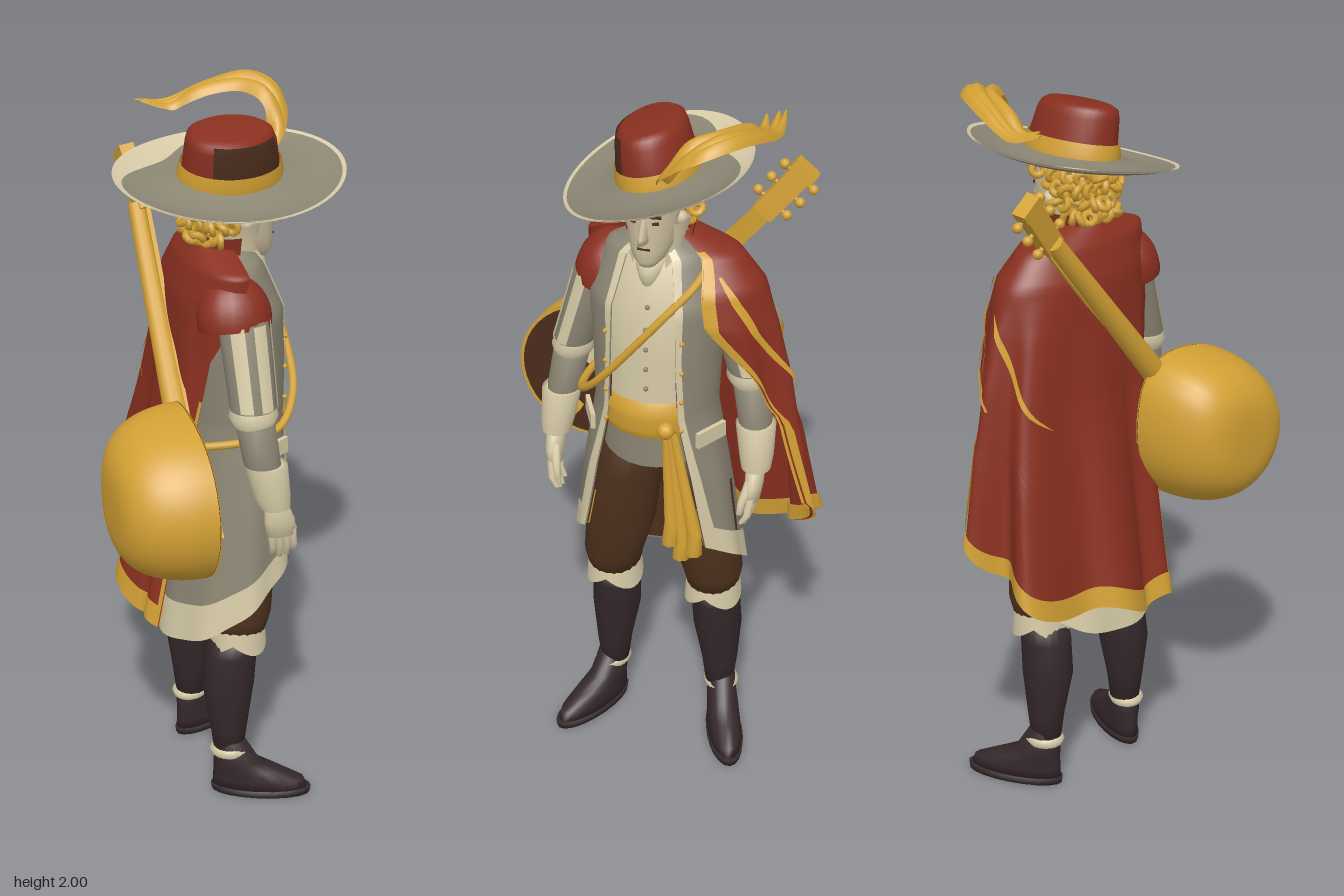
import * as THREE from 'three';
import { mergeVertices } from 'three/addons/utils/BufferGeometryUtils.js';

const mat = (name, color) => new THREE.MeshStandardMaterial({ name, color, side: THREE.DoubleSide });
const TAU = Math.PI * 2, CZ = -0.015;
const { sin, cos, abs, min, max, pow } = Math;

// Smooth surface from a rule f(u, v) -> [x, y, z]
function sheet(f, nu, nv) {
  const p = [], idx = [];
  for (let j = 0; j <= nv; j++) for (let i = 0; i <= nu; i++) p.push(...f(i / nu, j / nv));
  for (let j = 0; j < nv; j++) for (let i = 0; i < nu; i++) {
    const a = j * (nu + 1) + i, b = a + nu + 1;
    idx.push(a, b, a + 1, a + 1, b, b + 1);
  }
  let g = new THREE.BufferGeometry();
  g.setAttribute('position', new THREE.Float32BufferAttribute(p, 3));
  g.setIndex(idx);
  g = mergeVertices(g, 1e-5);
  g.computeVertexNormals();
  return g;
}

// Value of a row table at t in 0..1
function at(rows, t) {
  const s = min(t * (rows.length - 1), rows.length - 1.0001), i = Math.floor(s);
  return rows[i].map((a, k) => a + (rows[i + 1][k] - a) * (s - i));
}

// Horizontal elliptical rings [x, y, z, rx, rz], bottom to top
function stack(rows, off = 0, a0 = 0, a1 = TAU, sides = 20) {
  return sheet((u, v) => {
    const [x, y, z, rx, rz] = at(rows, v), a = a0 + (a1 - a0) * u;
    return [x + (rx + off) * cos(a), y, z + (rz + off) * sin(a)];
  }, sides, rows.length - 1);
}
const capped = rows => [[...rows[0].slice(0, 3), 0, 0], ...rows, [...rows.at(-1).slice(0, 3), 0, 0]];

// Drooping band along a curve, with its half width given by w(t)
function ribbon(points, w) {
  const c = new THREE.CatmullRomCurve3(points.map(q => new THREE.Vector3(...q))), up = new THREE.Vector3(0, 1, 0);
  return sheet((u, v) => {
    const p = c.getPoint(v), s = c.getTangent(v).cross(up).normalize(), k = 2 * u - 1;
    p.addScaledVector(s, k * w(v));
    return [p.x, p.y - k * k * w(v), p.z];
  }, 6, 32);
}

export function createModel() {
  const root = new THREE.Group();
  const M = {
    cream: mat('cream cloth', 0xd6caa6), grey: mat('grey cloth', 0x8b8573), gold: mat('gold', 0xd2a034),
    red: mat('red cloth', 0x8a3020), brown: mat('brown', 0x4e311d), boot: mat('dark leather', 0x34272a),
    skin: mat('skin', 0xcbbd9e), wood: mat('dark wood', 0x4a2c1c)
  };
  const add = (name, g, m, parent = root, pos = [0, 0, 0], rot = [0, 0, 0]) => {
    const o = new THREE.Mesh(g, m);
    o.name = name; o.position.set(...pos); o.rotation.set(...rot); parent.add(o);
    return o;
  };
  const box = (a, b, c) => new THREE.BoxGeometry(a, b, c);

  // Legs
  for (const s of [1, -1]) {
    const z = -.024 + s * 0.16;
    const foot = new THREE.Group();
    foot.name = 'shoe'; foot.position.set(0, 0, z + s * .006); foot.rotation.y = -s * 0.42; root.add(foot);
    add('sole', stack(capped([[.09, 0, 0, .14, .05], [.09, .02, 0, .143, .052]])), M.boot, foot);
    add('shoeUpper', stack(capped([[.088, .015, 0, .136, .048], [.083, .045, 0, .13, .047], [.05, .075, 0, .095, .045],
      [.02, .1, 0, .065, .043], [0, .17, 0, .042, .038]])), M.boot, foot);
    add('ankleTrim', stack([[0, .125, 0, .05, .044], [0, .14, 0, .056, .05], [0, .15, 0, .044, .042]]), M.cream, foot);
    add('boot', stack(capped([[0, .14, z, .043, .04], [0, .22, z, .053, .05], [0, .35, z - s * .008, .074, .068],
      [.01, .45, z - s * .012, .073, .068], [.02, .5, z - s * .012, .066, .062]])), M.boot);
    const zk = z - s * .014;
    add('kneeCuff', sheet((u, v) => {
      const a = u * TAU, r = .075 + .005 * v, dip = .04 * abs(sin(a * 1.5));
      return [.03 + r * cos(a), .54 - v * (.04 + dip), zk + r * sin(a)];
    }, 30, 3), M.cream);
    add('breeches', stack(capped([[.03, .505, zk, .072, .07], [.035, .57, zk, .088, .083], [.045, .7, z - s * .04, .096, .097],
      [.05, .88, z - s * .06, .1, .098], [.05, 1.03, CZ + s * .065, .098, .08]])), M.brown);
  }

  // Shirt, waistcoat and sash
  const torso = [[.06, 1.0, CZ, .125, .145], [.06, 1.12, CZ, .118, .14], [.055, 1.3, CZ, .128, .16],
    [.05, 1.45, CZ, .125, .165], [.045, 1.55, CZ, .09, .12], [.05, 1.62, CZ, .055, .055]];
  add('shirt', stack(capped(torso)), M.cream);
  add('waistcoat', sheet((u, v) => {
    const a = u * TAU, e = .035 * abs(cos(a));
    return [.06 + .13 * cos(a), 1.1 - v * (.09 + e), CZ + .15 * sin(a)];
  }, 24, 3), M.grey);
  add('sash', stack([[.06, 1.07, CZ, .135, .145], [.06, 1.1, CZ, .15, .155], [.06, 1.13, CZ, .143, .15],
    [.06, 1.15, CZ, .15, .155], [.06, 1.18, CZ, .132, .145]], 0, -1.1, 1.1), M.gold);
  add('sashKnot', new THREE.SphereGeometry(.024, 12, 8), M.gold, root, [.2, 1.11, -.085]);
  [[-.105, .76], [-.135, .72], [-.17, .74]].forEach(([z, y], i) => add('sashTail', stack(capped([
    [.215, y, z, .024, .025], [.208, y + .06, z, .015, .02], [.195, 1.1, -.085 - i * .01, .012, .012]]), 0, 0, TAU, 8), M.gold));
  for (let i = 0; i < 5; i++) add('shirtButton', new THREE.SphereGeometry(.007, 8, 6), M.grey, root, [.184 - max(0, i - 3) * .015, 1.22 + i * .06, CZ - .01]);

  // Open coat with a slanting hem
  const coatRows = [[1.62, .04, .06, .065], [1.58, .04, .09, .14], [1.45, .05, .138, .185], [1.3, .055, .142, .175],
    [1.13, .06, .138, .168], [.88, .05, .155, .207], [.6, .03, .178, .238]];
  const coat = (u, v, off = 0) => {
    const [y, cx, rx, rz] = at(coatRows, v), p0 = .44 + .36 * v * v, a = p0 + (TAU - 2 * p0) * u;
    const k = max(0, (v - .66) / .34), r = 1 + .025 * k * sin(a * 9);
    return [cx + (rx * r + off) * cos(a), y + k * (.02 + .14 * cos(a)), CZ + (rz * r + off) * sin(a)];
  };
  add('coat', sheet(coat, 60, 36), M.grey);
  add('coatLining', sheet((u, v) => coat(u, .55 + .445 * v, -.005), 60, 18), M.brown);
  add('coatHemTrim', sheet((u, v) => coat(u, .945 + .057 * v, .005), 60, 3), M.cream);
  for (const s of [0, 1]) {
    add('liningTrim', sheet((u, v) => coat(abs(s - .36 * u), .91 + .088 * v, -.009), 20, 3), M.gold);
    add('coatFrontTrim', sheet((u, v) => coat(abs(s - u * (.018 + .03 * pow(abs(2 * v - 1), 2))), v, .005), 3, 36), M.cream);
    const k = s ? -1 : 1;
    add('pocketFlap', box(.1, .045, .012), M.cream, root, [.12, 1.07, CZ + k * .17], [0, k * .5, 0]);
    for (let i = 0; i < 4; i++) add('coatButton', new THREE.SphereGeometry(.007, 8, 6), M.gold, root, [.174, 1.1 + i * .09, CZ + k * .105]);
  }
  add('collar', stack([[.06, 1.56, CZ, .08, .075], [.06, 1.62, CZ, .07, .072], [.055, 1.685, CZ, .088, .092]], 0, .6, TAU - .6), M.cream);
  add('neckcloth', stack(capped([[.1, 1.5, CZ, .05, .03], [.1, 1.55, CZ, .055, .04], [.085, 1.59, CZ, .05, .05]])), M.cream);

  // Arms
  for (const s of [1, -1]) {
    const z = d => CZ + s * d;
    const upper = [[.03, 1.2, z(.25), .053, .048], [.03, 1.25, z(.242), .063, .056], [.028, 1.36, z(.21), .066, .057],
      [.025, 1.47, z(.178), .069, .06], [.025, 1.54, z(.15), .055, .05], [.025, 1.57, z(.13), .02, .02]];
    add('upperSleeve', stack(capped(upper)), M.grey);
    for (const a of [.05, .95, 1.85, 4.3]) add('sleeveStripe', stack(upper.slice(1, 4), .004, s * a, s * (a + .55), 4), M.cream);
    add('elbowBand', stack([[.03, 1.2, z(.25), .055, .05], [.03, 1.225, z(.246), .067, .06], [.03, 1.25, z(.242), .06, .054]]), M.cream);
    add('forearm', stack(capped([[.065, 1.0, z(.28), .04, .038], [.045, 1.1, z(.27), .05, .046], [.03, 1.22, z(.25), .053, .05]])), M.grey);
    add('cuff', stack([[.078, .965, z(.285), .042, .04], [.07, 1.0, z(.283), .05, .046], [.055, 1.09, z(.275), .058, .054], [.052, 1.09, z(.272), .045, .043]]), M.cream);
    add('hand', stack(capped([[.098, .875, z(.282), .04, .02], [.092, .92, z(.285), .043, .024], [.08, .98, z(.285), .03, .026]])), M.cream);
    for (let i = 0; i < 4; i++) {
      const x = .068 + i * .02, low = .795 + abs(i - 1.4) * .012;
      add('finger', stack(capped([[x + .012, low, z(.265), .008, .008], [x + .008, .84, z(.28), .01, .011], [x, .89, z(.284), .011, .012]]), 0, 0, TAU, 8), M.cream);
    }
    add('thumb', stack(capped([[.142, .845, z(.26), .009, .009], [.138, .88, z(.265), .012, .012], [.11, .94, z(.28), .014, .014]]), 0, 0, TAU, 8), M.cream);
  }

  // Cape draped over the back and the left arm: y, back reach, front reach, side reach, start and end angle
  const capeRows = [[1.63, .07, .05, .08, 1.3, 5.5], [1.585, .1, .1, .215, 1.4, 5.6], [1.5, .125, .155, .285, 1.7, 5.72], [1.35, .135, .17, .315, 2.2, 5.72],
    [1.15, .15, .15, .345, 2.4, 5.45], [.9, .19, .15, .37, 2.5, 4.98], [.555, .245, .16, .395, 2.55, 4.85]];
  const cape = (u, v, off = 0) => {
    const [y, rb, rf, rl, start, end] = at(capeRows, v), a = start + (end - start) * u;
    const k = max(0, v - .35), bump = .3 * k * Math.exp(-pow((a - 4) / .3, 2));
    const r = 1 + bump + .15 * k * cos(9 * (a - 4.05)) + off / .25;
    const rz = (sin(a) > 0 ? min(rl, .2) : rl) * r, rx = (cos(a) > 0 ? rf : rb) * r;
    return [.02 + rx * cos(a), y + k * (.42 * u * u + .03 * sin(u * 20)), CZ + rz * sin(a)];
  };
  add('cape', sheet(cape, 100, 40), M.red);
  for (const off of [.005, -.005]) {
    add('capeHemTrim', sheet((u, v) => cape(u, .97 + .031 * v, off), 100, 2), M.gold);
    add('capeFrontTrim', sheet((u, v) => cape(.97 + .032 * u, .12 + .88 * v, off), 3, 40), M.gold);
  }
  add('capeBackTrim', sheet((u, v) => cape(.015 * u, .6 + .4 * v, .005), 2, 20), M.gold);
  add('capeFoldTrim', sheet((u, v) => cape(.95 - .2 * v + .035 * u * sin(.3 + 2.5 * v), .24 + .46 * v, .008), 3, 24), M.gold);
  add('capeSideTrim', sheet((u, v) => cape(.75 - .27 * v + .04 * u * sin(Math.PI * v), .42 + .28 * v, .008), 3, 24), M.gold);
  add('capeCollar', stack([[.045, 1.6, CZ, .085, .085], [.045, 1.66, CZ, .095, .098]], 0, 1.5, 4.8), M.red);
  add('rightShoulderCape', new THREE.SphereGeometry(1, 20, 10, 0, TAU, 0, 1.8), M.red, root, [.01, 1.465, .14], [-.25, 0, 0]).scale.set(.1, .115, .084);

  // Head
  add('neck', stack([[.05, 1.54, CZ, .05, .048], [.07, 1.66, CZ, .05, .045]]), M.skin);
  add('head', stack(capped([[.13, 1.572, CZ, .03, .024], [.118, 1.59, CZ, .052, .042], [.1, 1.625, CZ, .071, .058],
    [.09, 1.67, CZ, .08, .066], [.085, 1.73, CZ, .087, .07], [.08, 1.81, CZ, .085, .068]])), M.skin);
  add('nose', stack(capped([[.172, 1.655, CZ, .03, .014], [.17, 1.67, CZ, .028, .012], [.163, 1.72, CZ, .014, .008]]), 0, 0, TAU, 10), M.skin);
  add('mouth', box(.008, .005, .034), M.brown, root, [.168, 1.63, CZ]);
  for (const s of [1, -1]) {
    add('eye', box(.008, .007, .018), M.brown, root, [.163, 1.705, CZ + s * .03], [0, -s * .35, 0]);
    add('eyebrow', box(.009, .005, .03), M.wood, root, [.166, 1.725, CZ + s * .031], [s * .12, -s * .35, 0]);
    add('ear', new THREE.SphereGeometry(.02, 10, 8), M.skin, root, [.075, 1.685, CZ + s * .068]);
  }
  // Curly hair
  add('hair', stack(capped([[.02, 1.65, CZ, .045, .055], [.025, 1.7, CZ, .07, .075], [.05, 1.79, CZ, .08, .08]])), M.gold);
  [1.95, 1.65, 1.3, .5].forEach((start, r) => {
    for (let i = 0; i < 12; i++) {
      const a = start + i * (TAU - 2 * start) / 11, w = .086 + .01 * sin(i * 5 + r * 3);
      add('curl', new THREE.TorusGeometry(.016, .01, 6, 10), M.gold, root,
        [.035 + w * (cos(a) > 0 ? 1.4 : 1.1) * cos(a), 1.655 + r * .035, CZ + w * sin(a)], [i * 1.3, -a + r, r * .7]);
    }
  });

  // Wide hat
  const hat = new THREE.Group();
  hat.name = 'hat'; hat.position.set(.055, 1.795, -.02); hat.rotation.x = .19; root.add(hat);
  const brim = (a, q, dy) => [(.1 + .213 * q) * cos(a),
    dy + .012 * (1 - q) - .012 * sin(q * 3.14) + .012 * pow(q, 4) + .01 * q * cos(2 * a + .4), (.075 + .162 * q) * sin(a)];
  const rim = a => .95 - .42 * pow(max(0, cos(a - 4.0)), 6);
  for (const [dy, n] of [[.008, 'brimTop'], [-.008, 'brimUnderside']]) {
    const edge = a => dy > 0 ? rim(a) : .95;
    add(n, sheet((u, v) => brim(u * TAU, v * edge(u * TAU), dy * (1 - .8 * v * edge(u * TAU))), 64, 12), M.grey, hat);
    add(n + 'Rim', sheet((u, v) => {
      const q = edge(u * TAU), k = q + (1 - q) * v;
      return brim(u * TAU, k, dy * (1 - .8 * k));
    }, 64, 6), M.cream, hat);
  }
  const crown = [[0, 0, 0, .132, .1], [0, .05, 0, .13, .098], [-.005, .11, 0, .122, .09], [-.008, .132, 0, .115, .084]];
  add('crown', stack([...crown, [-.008, .142, 0, .1, .07], [-.008, .142, 0, 0, 0]], 0, 0, TAU, 32), M.red, hat);
  add('crownPanel', stack(crown, .003, .55, 2.2), M.wood, hat);
  add('hatBand', stack([[0, .0, 0, .142, .108], [0, .02, 0, .143, .109], [0, .05, 0, .136, .104]], 0, 0, TAU, 32), M.gold, hat);
  // Plume
  [[0, 0, .034], [-.025, .025, .028], [.01, -.015, .024]].forEach(([dx, dz, w]) => add('plume', ribbon([
    [.17, 1.83, -.06], [.215, 1.9, -.1 + dz * .3], [.23 + dx, 1.975, -.17 + dz], [.18 + dx, 2.0 - abs(dx) * .4, -.235 + dz],
    [.07 + dx, 1.965, -.275 + dz], [-.02, 1.925, -.29 + dz], [-.1 - dx, 1.935, -.285 + dz]],
  t => w * pow(sin(.25 + 2.85 * t), .7)), M.gold));

  // Lute slung on the back
  const lute = new THREE.Group();
  lute.name = 'lute'; lute.position.set(-.145, 1.02, .245); lute.rotation.x = -.675; root.add(lute);
  const outline = (a, k, x) => [x, k * (cos(a) > 0 ? .215 + .045 * pow(cos(a), 4) : .215) * cos(a), k * .212 * sin(a)];
  add('luteBowl', sheet((u, v) => outline(u * TAU, pow(max(0, cos(v * Math.PI / 2)), .55), -.225 * sin(v * Math.PI / 2)), 40, 16), M.gold, lute);
  add('soundboard', sheet((u, v) => outline(u * TAU, v, .001), 40, 2), M.wood, lute);
  add('soundboardEdge', sheet((u, v) => outline(u * TAU, .965 + .04 * v, .004), 40, 1), M.gold, lute);
  add('rosette', new THREE.CylinderGeometry(.052, .052, .02, 24), M.cream, lute, [.015, .08, .03], [0, 0, Math.PI / 2]);
  add('bridge', box(.03, .03, .1), M.gold, lute, [.03, -.114, 0]);
  add('luteNeck', new THREE.CylinderGeometry(.024, .034, .6, 12), M.gold, lute, [.015, .51, 0], [0, 0, -.03]);
  add('fingerboard', box(.012, .6, .05), M.gold, lute, [.038, .51, 0], [0, 0, -.03]);
  add('headstock', box(.04, .18, .06), M.gold, lute, [.033, .88, 0], [0, 0, .12]);
  add('headstockTip', box(.042, .03, .07), M.gold, lute, [.023, .955, 0], [0, 0, .12]);
  for (const s of [1, -1]) for (let i = 0; i < 3; i++) {
    add('pegShaft', new THREE.CylinderGeometry(.006, .006, .03, 8), M.gold, lute, [.033, .825 + i * .055, s * .036], [Math.PI / 2, 0, 0]);
    add('peg', new THREE.SphereGeometry(.014, 10, 8), M.gold, lute, [.033, .825 + i * .055, s * .05]);
  }
  // Strap across the chest
  add('strap', new THREE.TubeGeometry(new THREE.CatmullRomCurve3([[-.08, 1.45, -.16], [.03, 1.56, -.16], [.12, 1.52, -.14], [.18, 1.44, -.07],
    [.2, 1.33, .02], [.19, 1.22, .11], [.13, 1.15, .175], [.03, 1.13, .195], [-.13, 1.13, .18]].map(q => new THREE.Vector3(...q))), 50, .011, 8), M.gold);
  return root;
}
